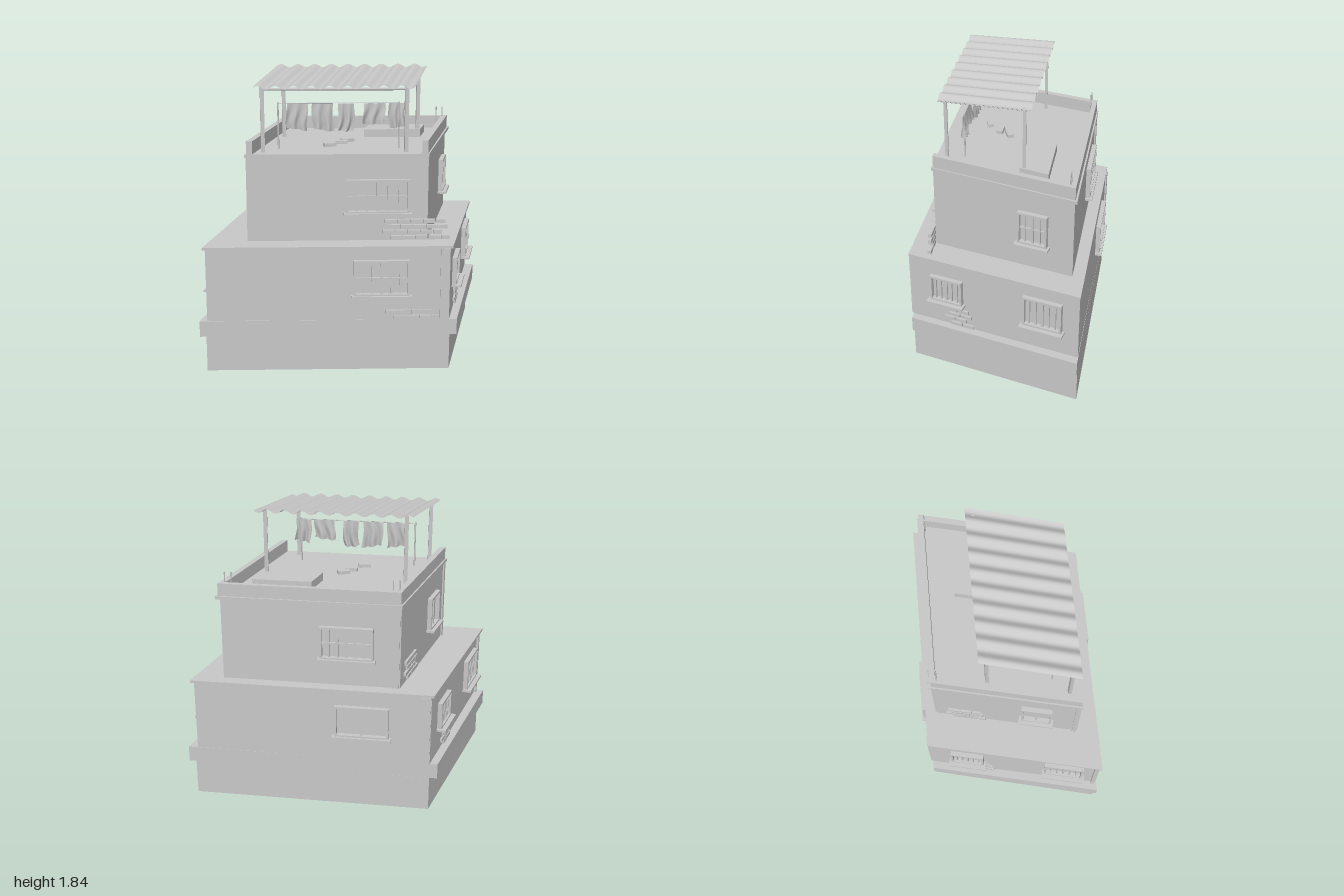
import * as THREE from 'three';

const plaster = new THREE.MeshStandardMaterial({ color: 0xc8c8c8, side: THREE.DoubleSide });
plaster.name = 'grey plaster';

// Plan corners [x, z]: front left, front right, back right, back left (as seen from the front)
const PLINTH = [[-0.96, 0.43], [0.555, 0.63], [0.955, -0.435], [-0.55, -0.63]];
const LEDGE = [[-1.0, 0.43], [0.6, 0.635], [1.0, -0.43], [-0.6, -0.635]];
const LOWER = [[-0.94, 0.432], [0.55, 0.63], [0.94, -0.435], [-0.55, -0.63]];
const SLAB = [[-0.97, 0.435], [0.565, 0.637], [0.965, -0.437], [-0.565, -0.637]];
const UPPER = [[-0.675, 0.335], [0.437, 0.475], [0.755, -0.388], [-0.357, -0.53]];
const EAVE = [[-0.692, 0.34], [0.437, 0.487], [0.785, -0.4], [-0.36, -0.545]];
const PARAPET = [[-0.678, 0.332], [0.433, 0.475], [0.768, -0.39], [-0.353, -0.535]];

function add(parent, name, geometry, x = 0, y = 0, z = 0) {
  const mesh = new THREE.Mesh(geometry, plaster);
  mesh.name = name;
  mesh.position.set(x, y, z);
  parent.add(mesh);
  return mesh;
}

function box(parent, name, w, h, d, x, y, z) {
  return add(parent, name, new THREE.BoxGeometry(w, h, d), x, y, z);
}

// Upright prism over a plan outline
function prism(parent, name, corners, y0, y1) {
  const shape = new THREE.Shape(corners.map(([x, z]) => new THREE.Vector2(x, -z)));
  const geometry = new THREE.ExtrudeGeometry(shape, { depth: y1 - y0, bevelEnabled: false });
  geometry.rotateX(-Math.PI / 2);
  return add(parent, name, geometry, 0, y0, 0);
}

// Bar or rod between two points
function beam(parent, name, a, b, r, sides) {
  const p = new THREE.Vector3(...a), q = new THREE.Vector3(...b);
  const mesh = add(parent, name, new THREE.CylinderGeometry(r, r, p.distanceTo(q), sides));
  mesh.position.copy(p).lerp(q, 0.5);
  mesh.quaternion.setFromUnitVectors(new THREE.Vector3(0, 1, 0), q.sub(p).normalize());
  return mesh;
}

// Wall frame: local x runs along the wall, local z points outward
function wall(root, name, corners, i) {
  const [px, pz] = corners[i], [qx, qz] = corners[(i + 1) % 4];
  const group = new THREE.Group();
  group.name = name;
  group.position.set(px, 0, pz);
  group.rotation.y = Math.atan2(-(qz - pz), qx - px);
  root.add(group);
  const length = Math.hypot(qx - px, qz - pz);
  // world x (front, back) or world z (sides) to distance along the wall
  const at = (v) => length * (i % 2 ? (v - pz) / (qz - pz) : (v - px) / (qx - px));
  return { group, length, at };
}

function barredWindow(w, from, to, y0, y1, bars, cross, sillOut = 0.045) {
  const g = new THREE.Group();
  g.name = 'window';
  const a = w.at(from), width = w.at(to) - a, h = y1 - y0, t = 0.014, d = 0.03;
  g.position.set(a + width / 2, (y0 + y1) / 2, 0);
  for (const s of [-1, 1]) {
    box(g, 'windowJamb', t, h, d, s * (width - t) / 2, 0, d / 2);
    box(g, 'windowRail', width, t, d, 0, s * (h - t) / 2, d / 2);
  }
  for (let k = 1; k <= bars; k++) {
    const middle = k === (bars + 1) / 2;
    box(g, 'windowBar', middle ? 0.014 : 0.008, h, 0.012, -width / 2 + width * k / (bars + 1), 0, 0.012);
  }
  if (cross) box(g, 'crossBar', width, 0.008, 0.012, 0, 0, 0.012);
  box(g, 'windowSill', width + 0.03, 0.014, sillOut, 0, -h / 2 - 0.004, sillOut / 2);
  w.group.add(g);
}

// Patch of exposed bricks with ragged ends
function bricks(w, from, to, y0, rows, out) {
  const a = w.at(from), b = w.at(to), size = 0.074;
  for (let r = 0; r < rows; r++) {
    const start = a + [0.05, 0.0, 0.035, 0.015][r % 4];
    const end = b - [0.0, 0.05, 0.015, 0.03][r % 4];
    for (let u = start; u + size * 0.6 < end; u += size + 0.006) {
      const len = Math.min(size, end - u);
      box(w.group, 'exposedBrick', len, 0.024, out, u + len / 2, y0 + r * 0.035, out / 2);
    }
  }
}

function pilaster(w, u, width, y0, y1, out = 0.01) {
  box(w.group, 'pilaster', width, y1 - y0, out, u, (y0 + y1) / 2, out / 2);
}

function cloth(parent, x0, x1, yBottom, seed) {
  const geo = new THREE.PlaneGeometry(1, 1, 10, 6), p = geo.attributes.position;
  for (let i = 0; i < p.count; i++) {
    const u = p.getX(i) + 0.5, v = 0.5 - p.getY(i);
    const x = x0 + (x1 - x0) * u + 0.012 * v * Math.sin(seed * 2 + v * 4);
    const y = 1.652 + (yBottom - 1.652) * v * (1 - 0.06 * Math.sin(u * 3 + seed));
    p.setXYZ(i, x, y, 0.254 + 0.127 * x + (0.003 + 0.016 * v) * Math.sin(u * 13 + seed * 1.7 + v * 2));
  }
  geo.computeVertexNormals();
  add(parent, 'hangingCloth', geo);
}

export function createModel() {
  const root = new THREE.Group();
  root.name = 'house';

  // Stacked storeys
  prism(root, 'plinth', PLINTH, 0, 0.23);
  prism(root, 'plinthLedge', LEDGE, 0.23, 0.332);
  prism(root, 'lowerStorey', LOWER, 0.332, 0.795);
  prism(root, 'lowerRoofSlab', SLAB, 0.795, 0.812);
  prism(root, 'upperStorey', UPPER, 0.812, 1.347);
  prism(root, 'upperRoofSlab', EAVE, 1.347, 1.366);

  // Parapet on three sides, open to the front
  const [fl, fr, br, bl] = PARAPET;
  const mix = (p, q, t) => [p[0] + (q[0] - p[0]) * t, p[1] + (q[1] - p[1]) * t];
  const k = 0.034;
  const ibl = mix(mix(bl, br, k), mix(fl, fr, k), k), ibr = mix(mix(br, bl, k), mix(fr, fl, k), k);
  prism(root, 'parapet', [fl, mix(fl, fr, k), ibl, ibr, mix(fr, fl, k), fr, br, bl], 1.366, 1.447);

  // Lower walls: front, right, back, left
  const [lf, lr, lb, ll] = [0, 1, 2, 3].map((i) => wall(root, 'lowerWall', LOWER, i));
  barredWindow(lf, -0.045, 0.3, 0.495, 0.725, 5, true);
  bricks(lf, 0.155, 0.49, 0.35, 2, 0.012);
  pilaster(lf, lf.length - 0.032, 0.055, 0.332, 0.795);
  for (const [w, s] of [[lr, 1], [ll, -1]]) {
    barredWindow(w, 0.495 * s, 0.29 * s, 0.51, 0.69, 5, false, 0.06);
    barredWindow(w, -0.095 * s, -0.335 * s, 0.5, 0.71, 5, false, 0.06);
    bricks(w, 0.415 * s, 0.195 * s, 0.347, 4, 0.012);
  }
  barredWindow(lb, 0.05, -0.29, 0.495, 0.705, 1, false);
  pilaster(lb, lb.length - 0.032, 0.055, 0.332, 0.795);
  pilaster(ll, ll.length - 0.02, 0.025, 0.332, 0.795, 0.015);

  // Upper walls
  const [uf, ur, ub, ul] = [0, 1, 2, 3].map((i) => wall(root, 'upperWall', UPPER, i));
  barredWindow(uf, -0.07, 0.32, 0.99, 1.205, 5, true);
  bricks(uf, 0.155, 0.575, 0.832, 4, 0.022);
  barredWindow(ur, -0.055, -0.235, 0.985, 1.205, 3, true, 0.055);
  barredWindow(ub, 0.14, -0.19, 0.99, 1.205, 5, true);
  pilaster(ub, ub.length - 0.03, 0.045, 0.812, 1.347);
  barredWindow(ul, -0.01, 0.17, 0.985, 1.205, 1, false, 0.055);
  bricks(ul, -0.47, -0.23, 0.842, 4, 0.015);
  pilaster(ul, ul.length - 0.02, 0.025, 0.812, 1.347);

  // Roof hatch and loose blocks
  prism(root, 'roofHatch', [[0.13, -0.1], [0.5, -0.053], [0.57, -0.23], [0.197, -0.275]], 1.366, 1.418);
  for (const [x, z, turn] of [[-0.136, 0.162, 0.1], [-0.05, 0.09, -0.15], [0.0, 0.03, 0.25]]) {
    box(root, 'looseBlock', 0.08, 0.022, 0.042, x, 1.377, z).rotation.y = turn;
  }

  // Bare steel rods at the back corners
  for (const [x, z] of [[0.685, -0.365], [0.725, -0.36], [-0.345, -0.497], [-0.305, -0.492]]) {
    beam(root, 'steelRod', [x, 1.366, z], [x, 1.512, z], 0.004, 6);
  }

  // Canopy posts and front beam
  for (const [x, z, top] of [[-0.57, 0.28, 1.772], [0.31, 0.4, 1.772], [-0.39, -0.195, 1.822], [0.49, -0.083, 1.822]]) {
    box(root, 'canopyPost', 0.024, top - 1.366, 0.02, x, (top + 1.366) / 2, z);
  }
  beam(root, 'canopyBeam', [-0.57, 1.757, 0.28], [0.31, 1.757, 0.4], 0.009, 8);

  // Corrugated canopy sheet, two skins
  for (const lift of [0, 0.006]) {
    const geo = new THREE.PlaneGeometry(1, 1, 90, 1), p = geo.attributes.position;
    for (let i = 0; i < p.count; i++) {
      const u = p.getX(i) + 0.5, v = 0.5 - p.getY(i);
      p.setXYZ(i, -0.425 + 0.98 * u - 0.205 * v,
        1.826 - 0.054 * v + 0.011 * Math.sin(u * Math.PI * 18) + lift,
        -0.245 + 0.125 * u + 0.565 * v);
    }
    geo.computeVertexNormals();
    add(root, 'canopySheet', geo);
  }

  // Clothes line with washing
  const ends = [[-0.465, 0.195], [0.285, 0.29]];
  for (const [x, z] of ends) beam(root, 'linePole', [x, 1.366, z], [x, 1.662, z], 0.005, 8);
  beam(root, 'clothesLine', [-0.465, 1.655, 0.195], [0.285, 1.655, 0.29], 0.002, 6);
  [[-0.41, -0.28, 1.485], [-0.255, -0.125, 1.485], [-0.095, 0.005, 1.485], [0.065, 0.2, 1.525], [0.22, 0.32, 1.5]]
    .forEach(([a, b, y], i) => cloth(root, a, b, y, i + 1));

  return root;
}
